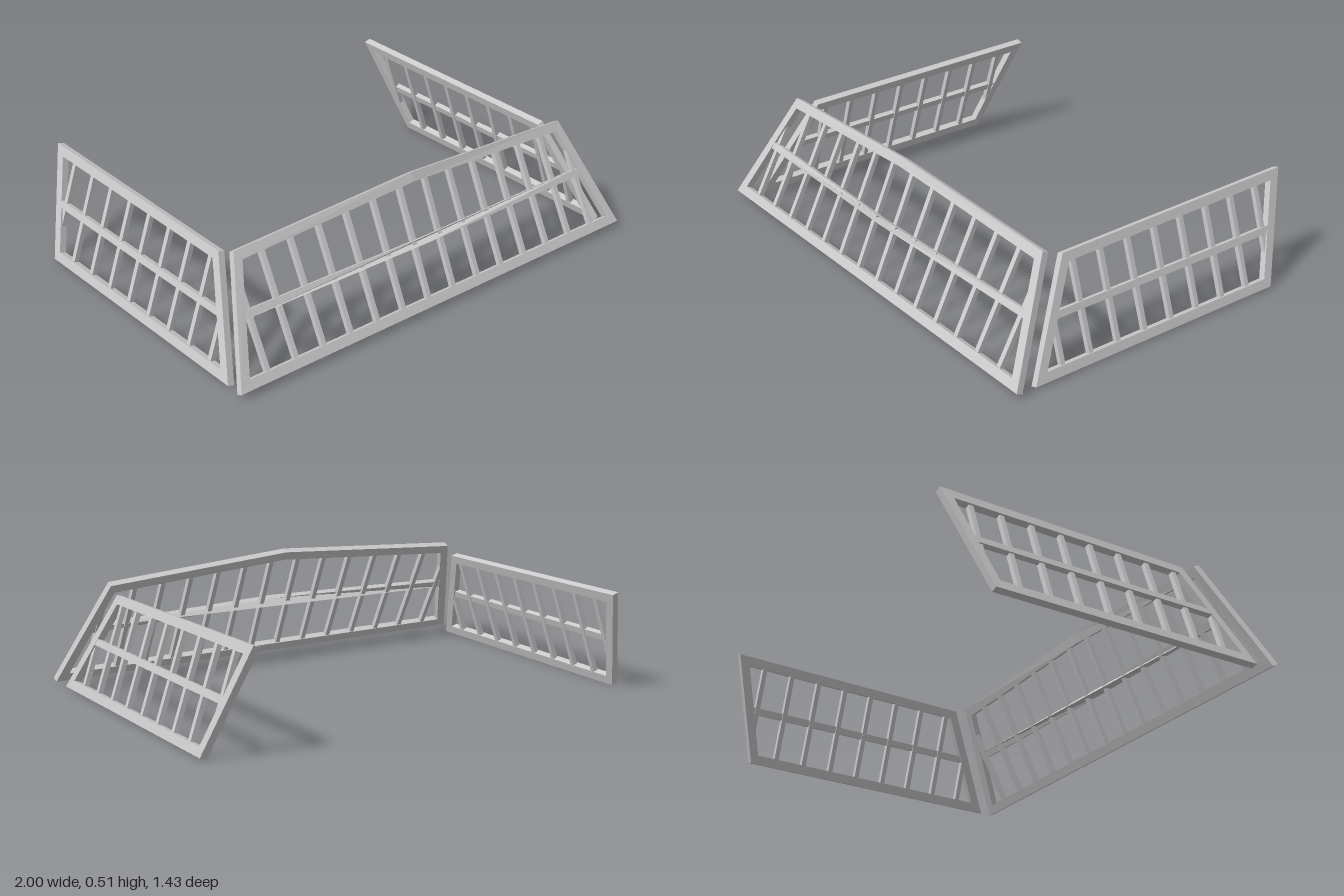
import * as THREE from 'three';

const T = 0.029; // frame thickness

// Points of a polygon, always counter-clockwise so that walls and hole walls face the right way.
function ccw(points) {
  const vecs = points.map(([u, v]) => new THREE.Vector2(u, v));
  return THREE.ShapeUtils.isClockWise(vecs) ? vecs.reverse() : vecs;
}

// Extrudes a polygon (u, v), then lays it on a leaning surface; d < 0 goes behind the face.
function piece(name, outline, hole, front, back, place, material) {
  const shape = new THREE.Shape(ccw(outline));
  if (hole) shape.holes.push(new THREE.Path(ccw(hole)));
  const geo = new THREE.ExtrudeGeometry(shape, { depth: front - back, bevelEnabled: false });
  const p = geo.attributes.position;
  for (let i = 0; i < p.count; i++) {
    p.setXYZ(i, ...place(p.getX(i), p.getY(i), p.getZ(i) + back));
  }
  geo.computeVertexNormals();
  const mesh = new THREE.Mesh(geo, material);
  mesh.name = name;
  return mesh;
}

// One fence panel: frame, middle rail and upright bars [u, bottom, top].
function panel(name, spec, place, material, sign = 1) {
  const group = new THREE.Group();
  group.name = name;
  const flip = (pts) => pts.map(([u, v]) => [u * sign, v]);
  group.add(piece('frame', flip(spec.outer), flip(spec.inner), 0, -T, place, material));
  // the middle rail may bow forward at its centre
  const placeRail = (u, v, d) => place(u, v, d + spec.bow * (1 - Math.abs(u) / 0.9));
  group.add(piece('middleRail', flip(spec.rail), null, -0.001, -0.024, placeRail, material));
  for (const [u, lo, hi] of spec.bars) {
    const w = 0.01;
    const quad = [[u - w, lo], [u + w, lo], [u + w, hi], [u - w, hi]];
    group.add(piece('bar', flip(quad), null, -0.007, -T + 0.001, place, material));
  }
  return group;
}

export function createModel() {
  const root = new THREE.Group();
  root.name = 'fence';
  const material = new THREE.MeshStandardMaterial({ color: 0xcccccc, flatShading: true });

  // Front panel: peaked at the centre, leaning back more towards its ends
  const frontBars = [];
  for (let i = 0; i < 7; i++) {
    const x = 0.066 + 0.132 * i;
    const top = Math.min(0.49 - 0.059 * x, 0.04 + (0.975 - x) * 2.79);
    frontBars.push([x, 0.045, top], [-x, 0.045, top]);
  }
  const front = {
    outer: [[-1, 0.028], [1, 0.028], [0.845, 0.461], [0, 0.512], [-0.845, 0.461]],
    inner: [[-0.947, 0.062], [0.947, 0.062], [0.82, 0.427], [0, 0.477], [-0.82, 0.427]],
    rail: [[-0.9, 0.243], [0, 0.253], [0.9, 0.243], [0.89, 0.27], [0, 0.279], [-0.89, 0.27]],
    bars: frontBars,
    bow: 0.016,
  };
  const placeFront = (u, v, d) => [
    u,
    v + 0.45 * d,
    0.715 - (v - 0.028) * (0.436 + 0.128 * Math.abs(u)) + 0.89 * d,
  ];
  root.add(panel('frontPanel', front, placeFront, material));

  // Side panels: slanted ends, leaning inwards
  const sideBars = [];
  for (let i = 0; i < 9; i++) {
    const z = 0.477 - 0.1328 * i;
    sideBars.push([z, i === 8 ? 0.13 : 0.03, i === 0 ? 0.225 : 0.41]);
  }
  const side = {
    outer: [[0.617, 0.01], [-0.568, 0.01], [-0.715, 0.438], [0.39, 0.424]],
    inner: [[0.556, 0.046], [-0.542, 0.046], [-0.662, 0.4], [0.368, 0.39]],
    rail: [[0.48, 0.21], [-0.615, 0.21], [-0.625, 0.238], [0.465, 0.236]],
    bars: sideBars,
    bow: 0,
  };
  for (const s of [1, -1]) {
    const placeSide = (u, v, d) => [
      s * (0.988 - (v - 0.01) * 0.337 + 0.95 * d),
      v + 0.316 * d,
      -s * u,
    ];
    root.add(panel(s > 0 ? 'leftPanel' : 'rightPanel', side, placeSide, material, -s));
  }
  return root;
}
